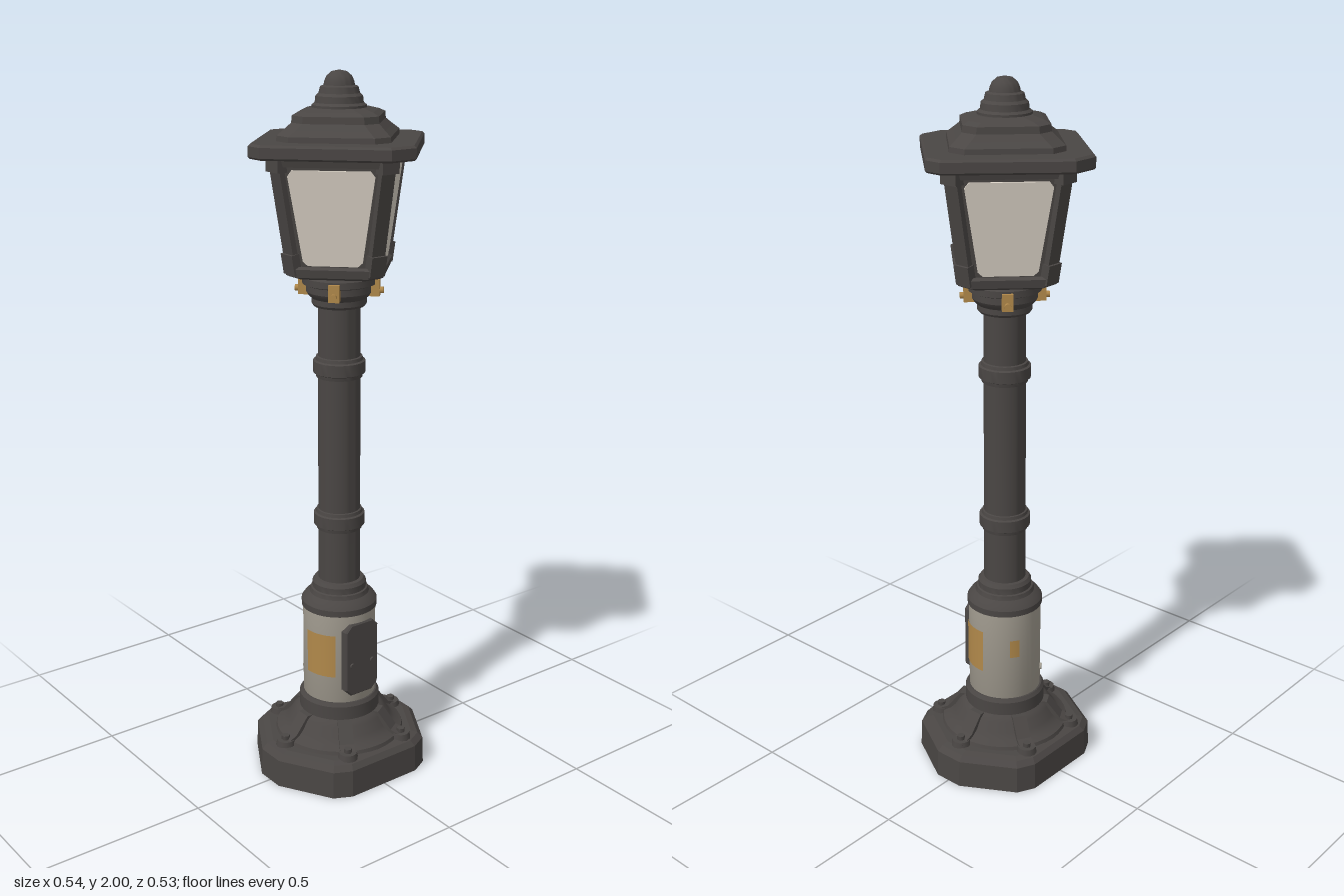
import * as THREE from 'three';
import { toCreasedNormals } from 'three/addons/utils/BufferGeometryUtils.js';

const material = (name, color) => {
  const m = new THREE.MeshStandardMaterial({ color });
  m.name = name;
  return m;
};

export function createModel() {
  const iron = material('dark iron', 0x4a4644);
  const cream = material('warm grey enamel', 0xa39d91);
  const glass = material('frosted glass', 0xd8d0c4);
  const brass = material('brass', 0xb0884a);

  const model = new THREE.Group();
  model.name = 'streetLamp';

  const add = (parent, name, geometry, mat, x = 0, y = 0, z = 0) => {
    const mesh = new THREE.Mesh(geometry, mat);
    mesh.name = name;
    mesh.position.set(x, y, z);
    parent.add(mesh);
    return mesh;
  };
  const pivot = (name, angle) => {
    const g = new THREE.Group();
    g.name = name;
    g.rotation.y = angle;
    model.add(g);
    return g;
  };
  // Turned part from [radius, y] pairs, bottom to top
  const turned = (name, profile, mat = iron, sides = 40) => add(model, name, toCreasedNormals(
    new THREE.LatheGeometry(profile.map(([r, y]) => new THREE.Vector2(r, y)), sides), 0.5), mat);

  // Closed faceted solid through stacked [y, outline] sections
  const loft = (sections) => {
    const pos = [];
    const n = sections[0][1].length;
    const at = (s, i) => [sections[s][1][i % n][0], sections[s][0], sections[s][1][i % n][1]];
    const last = sections.length - 1;
    for (let i = 0; i < n; i++) {
      for (let s = 0; s < last; s++) {
        const a = at(s, i), b = at(s, i + 1), c = at(s + 1, i + 1), d = at(s + 1, i);
        pos.push(...a, ...d, ...b, ...b, ...d, ...c);
      }
      pos.push(0, sections[0][0], 0, ...at(0, i), ...at(0, i + 1));
      pos.push(0, sections[last][0], 0, ...at(last, i + 1), ...at(last, i));
    }
    const g = new THREE.BufferGeometry();
    g.setAttribute('position', new THREE.Float32BufferAttribute(pos, 3));
    g.computeVertexNormals();
    return g;
  };
  // Square standing on its corners, with the corners cut off
  const diamond = (d, cx = 0.025, cz = cx, dz = d) => [
    [d, cx], [cz, dz], [-cz, dz], [-d, cx], [-d, -cx], [-cz, -dz], [cz, -dz], [d, -cx]];
  // Hexagon with cut corners
  const hexagon = (k) => [
    [0.25, 0.042], [0.165, 0.19], [0.115, 0.215], [-0.115, 0.215], [-0.165, 0.19], [-0.25, 0.042],
    [-0.25, -0.042], [-0.165, -0.19], [-0.115, -0.215], [0.115, -0.215], [0.165, -0.19], [0.25, -0.042],
  ].map(([x, z]) => [x * k, z * k]);

  // Foot
  add(model, 'footPlinth', loft([
    [0, hexagon(1.012)], [0.08, hexagon(1)], [0.095, hexagon(0.94)], [0.1, hexagon(0.86)]]), iron);
  turned('footFlare', [[0.19, 0.095], [0.185, 0.11], [0.165, 0.12], [0.15, 0.135], [0.135, 0.16],
    [0.125, 0.17], [0.117, 0.175], [0.117, 0.215], [0.11, 0.225], [0.1, 0.225]]);

  // Six gussets, each with a bolted toe
  const rib = new THREE.Shape([[0.09, 0.09], [0.212, 0.09], [0.212, 0.108], [0.172, 0.125],
    [0.132, 0.175], [0.09, 0.175]].map(([x, y]) => new THREE.Vector2(x, y)));
  const ribGeometry = new THREE.ExtrudeGeometry(rib, { depth: 0.042, bevelEnabled: false });
  ribGeometry.translate(0, 0, -0.021);
  for (let i = 0; i < 6; i++) {
    const g = pivot('gusset', i * Math.PI / 3);
    add(g, 'gussetRib', ribGeometry, iron);
    add(g, 'gussetToe', new THREE.CylinderGeometry(0.026, 0.03, 0.02, 12), iron, 0.195, 0.105, 0);
    add(g, 'gussetBolt', new THREE.CylinderGeometry(0.012, 0.012, 0.014, 6), iron, 0.196, 0.12, 0);
  }

  // Enamelled housing and its shoulder
  turned('housing', [[0.1, 0.215], [0.105, 0.225], [0.105, 0.5], [0.1, 0.505]], cream);
  turned('shoulder', [[0.1, 0.495], [0.109, 0.497], [0.109, 0.515], [0.1, 0.528], [0.086, 0.538],
    [0.082, 0.55], [0.077, 0.552], [0.077, 0.57], [0.07, 0.58], [0.055, 0.582]]);

  // Access door with two screws
  const w = 0.054, b = 0.252, t = 0.468, c = 0.018;
  const doorShape = new THREE.Shape([[-w + c, b], [w - c, b], [w, b + c], [w, t - c], [w - c, t],
    [-w + c, t], [-w, t - c], [-w, b + c]].map(([x, y]) => new THREE.Vector2(x, y)));
  add(model, 'accessDoor', new THREE.ExtrudeGeometry(doorShape, {
    depth: 0.03, bevelThickness: 0.004, bevelSize: 0.004, bevelSegments: 1 }), iron, 0, 0, 0.075);
  for (const x of [-0.036, 0.036]) {
    add(model, 'doorScrew', new THREE.CylinderGeometry(0.008, 0.008, 0.008, 10), iron, x, 0.345, 0.111)
      .rotation.x = Math.PI / 2;
  }

  // Curved brass plates on the housing: start and sweep in degrees from the front
  const rad = THREE.MathUtils.degToRad;
  for (const [name, start, sweep, y, h] of [['leftPlate', 43, 52, 0.372, 0.13],
    ['rightPlate', -95, 52, 0.372, 0.13], ['rearBadge', 139, 15, 0.39, 0.055]]) {
    add(model, name, new THREE.CylinderGeometry(0.108, 0.108, h, 12, 1, true, rad(start), rad(sweep)),
      brass, 0, y, 0);
  }
  const rear = pivot('rearPlug', rad(-146));
  add(rear, 'rearPlugHead', new THREE.CylinderGeometry(0.01, 0.01, 0.01, 12), cream, 0, 0.28, 0.105)
    .rotation.x = Math.PI / 2;

  // Pole with two banded joints
  turned('pole', [[0.06, 0.57], [0.058, 1.39]]);
  for (const y of [0.762, 1.208]) {
    turned('poleBand', [[0.056, -0.03], [0.064, -0.028], [0.066, -0.018], [0.072, -0.015], [0.072, 0.018],
      [0.066, 0.021], [0.064, 0.03], [0.056, 0.032]].map(([r, dy]) => [r, y + dy]));
  }

  // Neck under the lantern
  turned('neck', [[0.055, 1.378], [0.07, 1.38], [0.075, 1.387], [0.075, 1.402], [0.084, 1.41],
    [0.09, 1.42], [0.09, 1.438], [0.1, 1.442], [0.1, 1.46], [0.085, 1.48]]);
  for (let i = 0; i < 4; i++) {
    const g = pivot('neckClip', Math.PI / 4 + i * Math.PI / 2);
    add(g, 'clipBlock', new THREE.BoxGeometry(0.03, 0.046, 0.03), brass, 0, 1.432, 0.096);
    add(g, 'clipKnob', new THREE.CylinderGeometry(0.009, 0.009, 0.012, 10), brass, 0, 1.424, 0.115)
      .rotation.x = Math.PI / 2;
  }

  // Lantern body and rims
  add(model, 'lanternTray', loft([[1.472, diamond(0.145)], [1.478, diamond(0.158)],
    [1.5, diamond(0.163)], [1.506, diamond(0.152)]]), iron);
  add(model, 'lanternFrame', loft([[1.48, diamond(0.145, 0.02)], [1.79, diamond(0.2, 0.02)]]), iron);
  add(model, 'lanternTopRim', loft([[1.768, diamond(0.202)], [1.795, diamond(0.212)]]), iron);

  // Glass panes, cut at the corners, leaning outward with the frame
  const pane = new THREE.Shape([[-0.066, 0.03], [0.066, 0.03], [0.079, 0.042], [0.113, 0.268],
    [0.102, 0.283], [-0.102, 0.283], [-0.113, 0.268], [-0.079, 0.042]]
    .map(([x, y]) => new THREE.Vector2(x, y)));
  const paneGeometry = new THREE.ExtrudeGeometry(pane, { depth: 0.005, bevelEnabled: false });
  for (let i = 0; i < 4; i++) {
    const g = pivot('lanternSide', Math.PI / 4 + i * Math.PI / 2);
    add(g, 'glassPane', paneGeometry, glass, 0, 1.48, 0.1165).rotation.x = 0.129;

    // Corner post with clamps
    const p = pivot('lanternCorner', i * Math.PI / 2);
    add(p, 'cornerPost', new THREE.BoxGeometry(0.044, 0.29, 0.03), iron, 0, 1.636, 0.171)
      .rotation.x = 0.176;
    add(p, 'lowerClamp', new THREE.BoxGeometry(0.05, 0.055, 0.036), iron, 0, 1.513, 0.152)
      .rotation.x = 0.176;
    add(p, 'upperClamp', new THREE.BoxGeometry(0.054, 0.036, 0.036), iron, 0, 1.772, 0.199);
  }

  // Stepped roof
  add(model, 'roofEave', loft([[1.79, diamond(0.267, 0.024, 0.038, 0.262)],
    [1.795, diamond(0.272, 0.025, 0.04, 0.267)], [1.822, diamond(0.272, 0.025, 0.04, 0.267)],
    [1.828, diamond(0.265, 0.024, 0.038, 0.26)]]), iron);
  add(model, 'roofSlope', loft([[1.825, diamond(0.184, 0.026)], [1.842, diamond(0.182, 0.026)],
    [1.856, diamond(0.16, 0.025)], [1.872, diamond(0.137, 0.024)], [1.89, diamond(0.135, 0.024)],
    [1.898, diamond(0.115, 0.022)], [1.906, diamond(0.08, 0.02)]]), iron);

  // Finial
  turned('finial', [[0.072, 1.895], [0.072, 1.912], [0.064, 1.918], [0.062, 1.935], [0.054, 1.942],
    [0.05, 1.958], [0.041, 1.962], [0.039, 1.972], [0.033, 1.985], [0.02, 1.996], [0, 2]]);

  return model;
}
